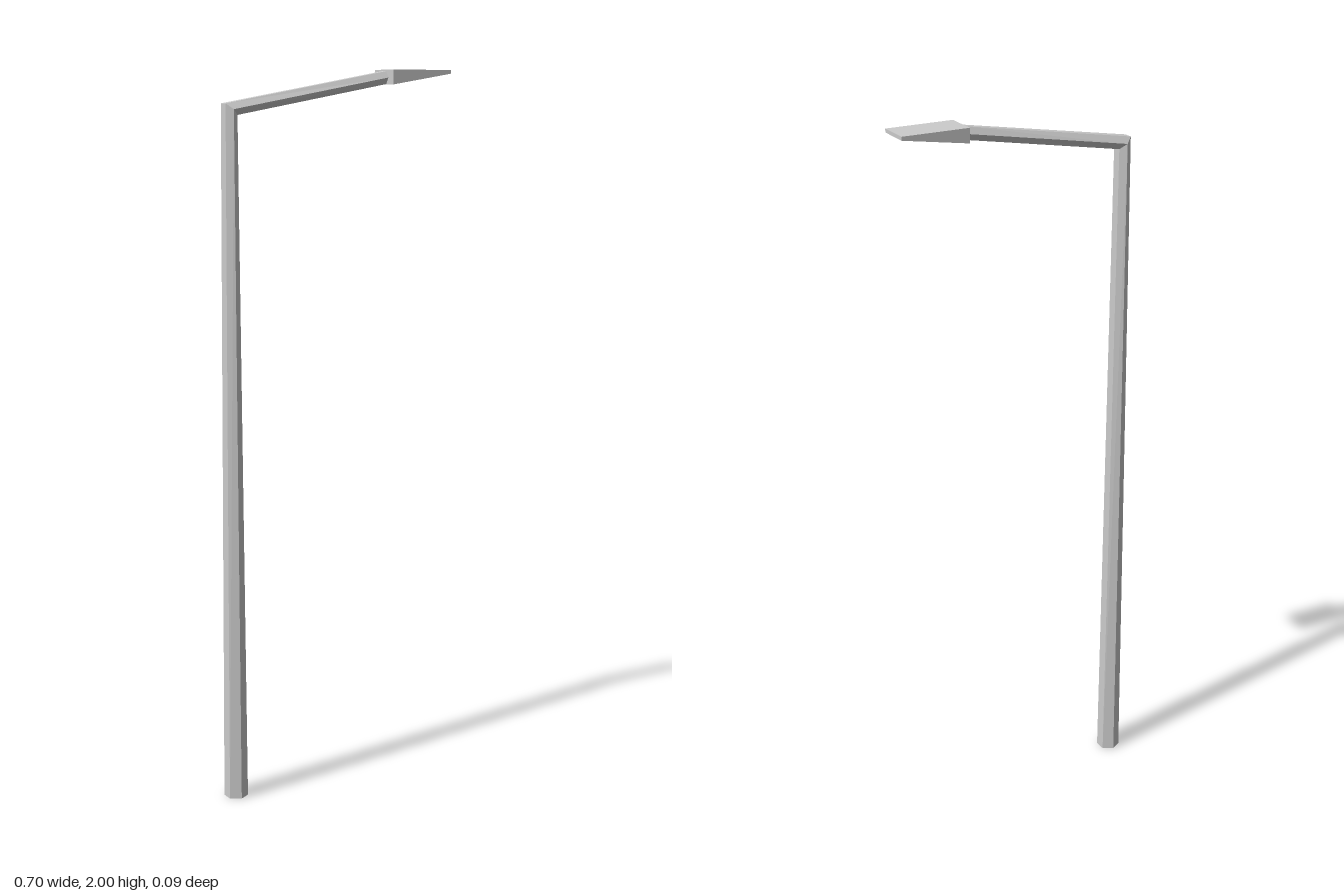
import * as THREE from 'three';

const material = new THREE.MeshStandardMaterial({ color: 0xcccccc, flatShading: true, side: THREE.DoubleSide });

// Hexagonal tube through rings; each ring has a centre (x, y),
// a half vector (hx, hy) across the flats and a half width z across the corners.
function hexTube(name, rings) {
  const positions = [], index = [];
  for (const { x, y, hx, hy, z } of rings) {
    for (let i = 0; i < 6; i++) {
      const a = (i * Math.PI) / 3;
      const s = Math.sin(a) / Math.sin(Math.PI / 3); // -1, 0 or 1 across the flats
      positions.push(x + hx * s, y + hy * s, z * Math.cos(a));
    }
  }
  for (let r = 0; r < rings.length - 1; r++) {
    for (let i = 0; i < 6; i++) {
      const a = r * 6 + i, b = r * 6 + ((i + 1) % 6);
      index.push(a, a + 6, b, b, a + 6, b + 6);
    }
  }
  const geometry = new THREE.BufferGeometry();
  geometry.setAttribute('position', new THREE.Float32BufferAttribute(positions, 3));
  geometry.setIndex(index);
  geometry.computeVertexNormals();
  const mesh = new THREE.Mesh(geometry, material);
  mesh.name = name;
  return mesh;
}

export function createModel() {
  const group = new THREE.Group();
  group.name = 'streetLamp';

  // Mitred elbow ring shared by the pole and the arm
  const elbow = { x: -0.3215, y: 1.895, hx: -0.0175, hy: 0.015, z: 0.0265 };

  // Tapered pole, open at the foot
  group.add(hexTube('pole', [{ x: -0.3215, y: 0, hx: -0.0285, hy: 0, z: 0.033 }, elbow]));

  // Rising arm
  group.add(hexTube('arm', [elbow, { x: 0.162, y: 1.979, hx: -0.003, hy: 0.017, z: 0.021 }]));

  // Wedge-shaped lamp head: flat top, underside rising to a thin tip
  const head = new THREE.BoxGeometry(0.19, 0.04, 0.095);
  head.translate(0.255, 1.98, 0);
  const p = head.attributes.position;
  for (let i = 0; i < p.count; i++) {
    if (p.getX(i) > 0.3 && p.getY(i) < 1.98) p.setY(i, 1.99);
  }
  head.computeVertexNormals();
  const lamp = new THREE.Mesh(head, material);
  lamp.name = 'lampHead';
  group.add(lamp);

  return group;
}
